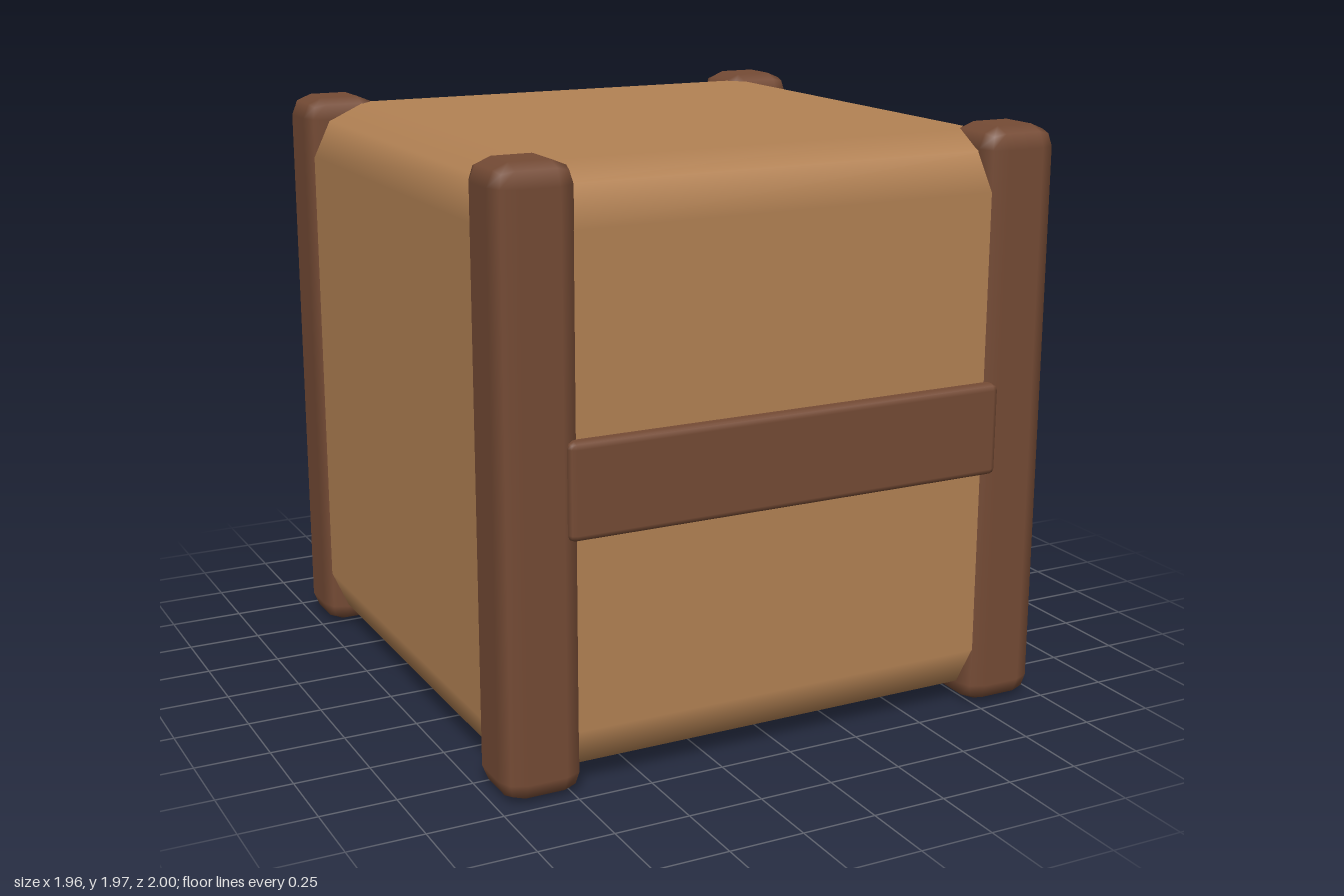
import * as THREE from 'three';
import { RoundedBoxGeometry } from 'three/addons/geometries/RoundedBoxGeometry.js';

export function createModel() {
  const model = new THREE.Group();
  model.name = 'crate';

  const tan = new THREE.MeshStandardMaterial({ color: 0xb38254 });
  tan.name = 'tan';
  const brown = new THREE.MeshStandardMaterial({ color: 0x754b35 });
  brown.name = 'brown';

  // Softly bevelled box, placed by its centre
  function addBox(name, material, size, radius, position) {
    const mesh = new THREE.Mesh(new RoundedBoxGeometry(...size, 1, radius), material);
    mesh.name = name;
    mesh.position.set(...position);
    model.add(mesh);
  }

  // Main block
  addBox('body', tan, [1.92, 1.92, 1.92], 0.18, [0, 0.983, 0]);

  for (const z of [1, -1]) {
    const end = z > 0 ? 'front' : 'back';
    // Corner posts
    for (const x of [1, -1]) {
      const side = x > 0 ? 'Left' : 'Right';
      addBox(`${end}${side}Post`, brown, [0.27, 1.965, 0.27], 0.07, [x * 0.845, 0.983, z * 0.845]);
    }
    // Horizontal band across the front and back
    addBox(`${end}Band`, brown, [1.535, 0.31, 0.1], 0.022, [0, 0.983, z * 0.95]);
  }

  return model;
}
